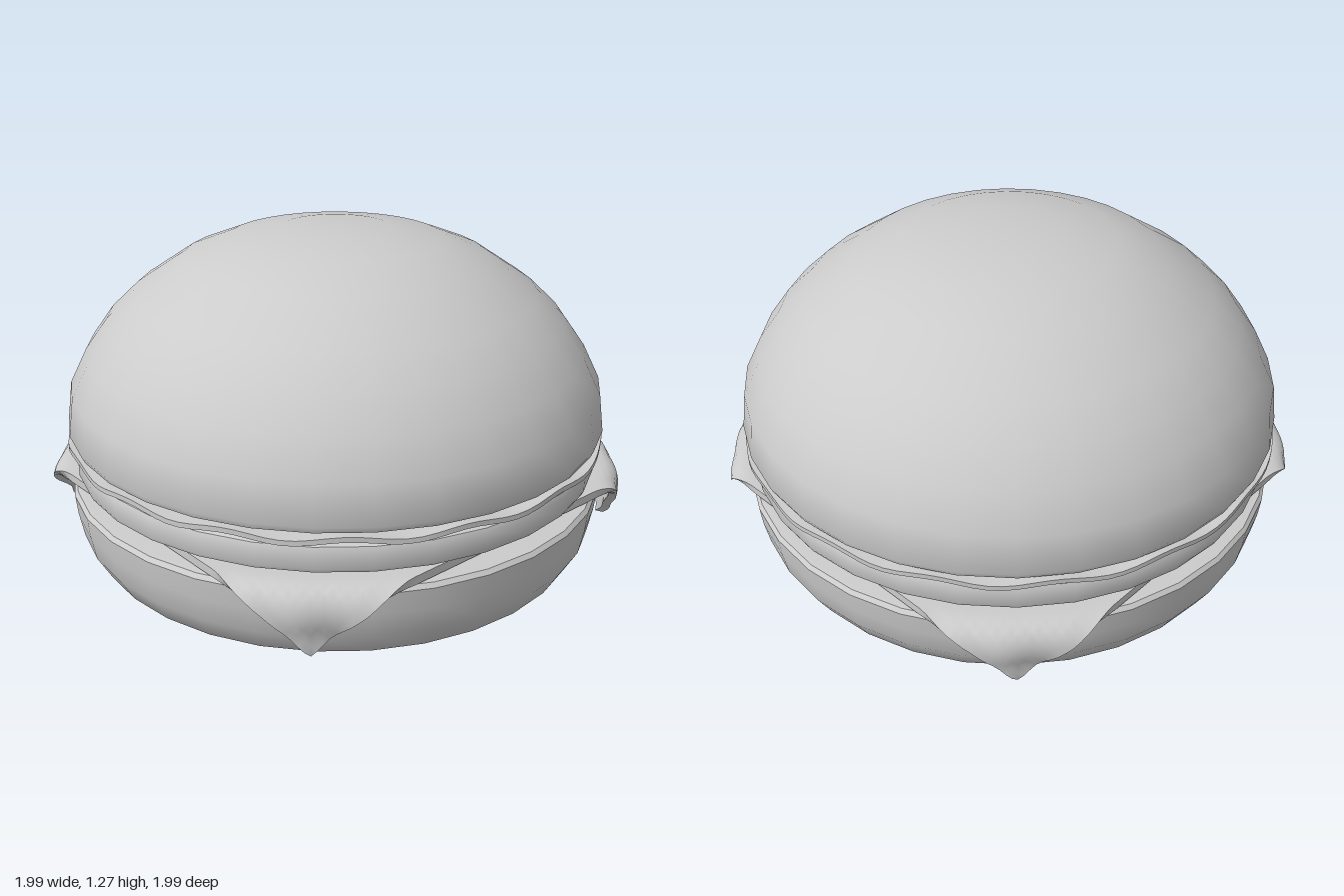
import * as THREE from 'three';
import { toCreasedNormals } from 'three/addons/utils/BufferGeometryUtils.js';

const material = new THREE.MeshStandardMaterial({ color: 0xcccccc });

function addMesh(group, name, geometry, crease = 0.65) {
  const mesh = new THREE.Mesh(toCreasedNormals(geometry, crease), material);
  mesh.name = name;
  group.add(mesh);
}

// Profiles run from the bottom centre outwards and up to the top centre.
function lathe(points, segments = 32) {
  return new THREE.LatheGeometry(points.map(([r, y]) => new THREE.Vector2(r, y)), segments);
}

// Moves every vertex of a geometry by a rule.
function deform(geometry, rule) {
  const pos = geometry.attributes.position;
  const v = new THREE.Vector3();
  for (let i = 0; i < pos.count; i++) {
    rule(v.fromBufferAttribute(pos, i));
    pos.setXYZ(i, v.x, v.y, v.z);
  }
  return geometry;
}

// Thin round leaf whose rim ripples up and down.
function lettuceGeometry() {
  const disc = lathe([
    [0, 0.524], [0.4, 0.524], [0.7, 0.524], [0.85, 0.524], [0.95, 0.524], [0.997, 0.524],
    [0.997, 0.542], [0.95, 0.542], [0.85, 0.542], [0.7, 0.542], [0.4, 0.542], [0, 0.542],
  ], 128);
  return deform(disc, (v) => {
    const r = Math.hypot(v.x, v.z), a = Math.atan2(v.x, v.z);
    v.y += 0.009 * Math.sin(16 * a) * Math.min(1, r ** 4);
    const k = 1 + 0.004 * Math.cos(16 * a) * r ** 4 - 0.004 * r ** 4;
    v.x *= k;
    v.z *= k;
  });
}

// Square slice whose corners bend down over the rim of the bun.
function cheeseGeometry() {
  const rim = 1.0, bend = 0.055, maxAngle = 1.78, midY = 0.383;
  const slice = new THREE.BoxGeometry(1.78, 0.03, 1.78, 56, 1, 56);
  return deform(slice, (v) => {
    const r = Math.hypot(v.x, v.z), a = Math.atan2(v.x, v.z), h = v.y;
    const over = Math.max(0, r - rim);
    const angle = Math.min(over / bend, maxAngle);
    const hang = Math.max(0, over - bend * maxAngle);
    const ripple = 0.05 * over * Math.sin(a * 28) + 0.03 * over * Math.sin(over * 60);
    const radius = Math.min(r, rim) + bend * Math.sin(angle)
      + hang * Math.cos(maxAngle) + h * Math.sin(angle) + ripple;
    v.x = Math.sin(a) * radius;
    v.z = Math.cos(a) * radius;
    v.y = midY - bend * (1 - Math.cos(angle)) - hang * Math.sin(maxAngle) + h * Math.cos(angle);
  });
}

export function createModel() {
  const group = new THREE.Group();
  group.name = 'burger';

  addMesh(group, 'bottomBun', lathe([
    [0, 0], [0.4, 0.006], [0.62, 0.016], [0.81, 0.037], [0.92, 0.095],
    [0.968, 0.18], [0.985, 0.27], [0.992, 0.345], [0.98, 0.36], [0.95, 0.363], [0, 0.363],
  ]));

  addMesh(group, 'cheese', cheeseGeometry(), 1.0);

  addMesh(group, 'patty', lathe([
    [0, 0.406], [0.95, 0.406], [0.964, 0.412], [0.97, 0.425],
    [0.97, 0.485], [0.964, 0.5], [0.95, 0.506], [0, 0.506],
  ]));

  addMesh(group, 'lettuce', lettuceGeometry());

  addMesh(group, 'topBun', lathe([
    [0, 0.552], [0.955, 0.552], [0.982, 0.558], [0.992, 0.58], [0.973, 0.715],
    [0.91, 0.84], [0.83, 0.95], [0.73, 1.045], [0.55, 1.165], [0.39, 1.228],
    [0.2, 1.262], [0, 1.268],
  ]));

  return group;
}
